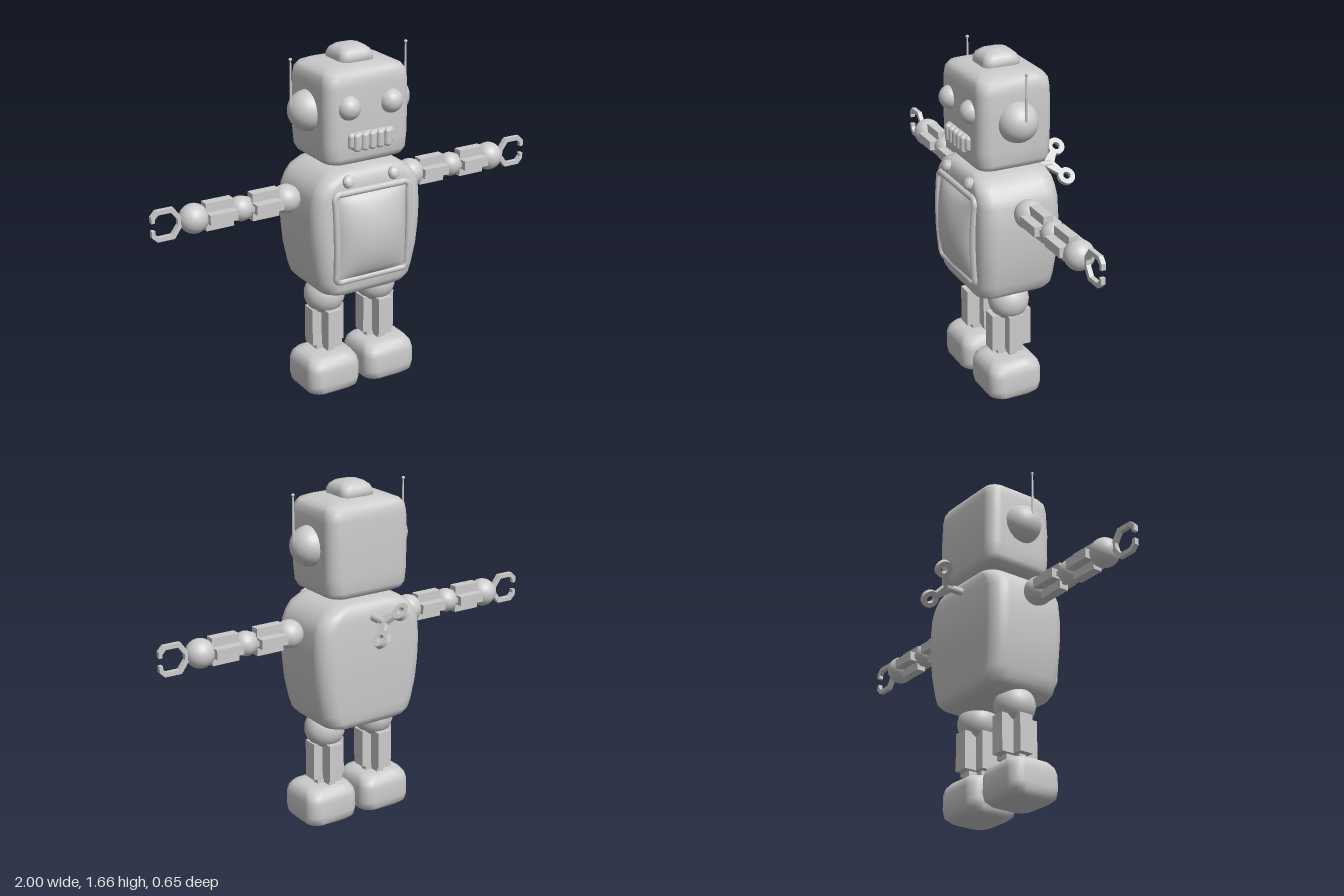
import * as THREE from 'three';
import { RoundedBoxGeometry } from 'three/addons/geometries/RoundedBoxGeometry.js';

const grey = new THREE.MeshStandardMaterial({ color: 0xcccccc });
const Z = 0.056; // depth of the body's mid plane

function add(parent, name, geometry, x = 0, y = 0, z = 0) {
  const mesh = new THREE.Mesh(geometry, grey);
  mesh.name = name;
  mesh.position.set(x, y, z);
  parent.add(mesh);
  return mesh;
}

function group(parent, name, x = 0, y = 0, z = 0) {
  const g = new THREE.Group();
  g.name = name;
  g.position.set(x, y, z);
  parent.add(g);
  return g;
}

const ball = (r) => new THREE.SphereGeometry(r, 28, 18);

// Soft box lofted through rounded rectangles; each ring is [y, halfWidth, halfDepth]
function softBox(rings, radius) {
  const n = 7, count = n * 4, pos = [], index = [];
  for (const [y, hw, hd] of rings) {
    const r = Math.min(radius, hw * 0.8, hd * 0.8);
    for (let c = 0; c < 4; c++) {
      const sx = c === 0 || c === 3 ? 1 : -1, sz = c < 2 ? 1 : -1;
      for (let k = 0; k < n; k++) {
        const t = (c + k / (n - 1)) * Math.PI / 2;
        pos.push(sx * (hw - r) + r * Math.cos(t), y, sz * (hd - r) + r * Math.sin(t));
      }
    }
  }
  const last = rings.length - 1, bottom = pos.length / 3, top = bottom + 1;
  pos.push(0, rings[0][0], 0, 0, rings[last][0], 0);
  for (let j = 0; j < count; j++) {
    const k = (j + 1) % count;
    for (let i = 0; i < last; i++) {
      const a = i * count + j, b = i * count + k;
      index.push(a, a + count, b, b, a + count, b + count);
    }
    index.push(bottom, j, k, top, last * count + k, last * count + j);
  }
  const g = new THREE.BufferGeometry();
  g.setAttribute('position', new THREE.Float32BufferAttribute(pos, 3));
  g.setIndex(index);
  g.computeVertexNormals();
  return g;
}

// Crossed bars around a slimmer, longer core, running along y
function barLimb(parent, name, length, width, depth, bar, coreLength) {
  const g = group(parent, name);
  add(g, 'sideBars', new THREE.BoxGeometry(width, length, bar));
  add(g, 'frontBars', new THREE.BoxGeometry(bar, length, depth));
  add(g, 'coreSideBars', new THREE.BoxGeometry(width * 0.64, coreLength, bar * 0.5));
  add(g, 'coreFrontBars', new THREE.BoxGeometry(bar * 0.5, coreLength, depth * 0.64));
  return g;
}

function plate(points, depth) {
  const shape = new THREE.Shape(points.map(([x, y]) => new THREE.Vector2(x, y)));
  return new THREE.ExtrudeGeometry(shape, { depth, bevelEnabled: false }).translate(0, 0, -depth / 2);
}

function buildTorso(root) {
  const torso = group(root, 'torso');
  add(torso, 'body', softBox([
    [0.508, 0.165, 0.13], [0.514, 0.19, 0.16], [0.53, 0.22, 0.182], [0.555, 0.241, 0.193],
    [0.6, 0.255, 0.196], [0.7, 0.275, 0.201], [0.8, 0.284, 0.204], [0.9, 0.288, 0.204],
    [1.0, 0.282, 0.2], [1.045, 0.264, 0.197], [1.08, 0.238, 0.193], [1.108, 0.198, 0.18],
    [1.12, 0.165, 0.16], [1.13, 0.12, 0.12]], 0.075), 0, 0, Z);

  // Window frame bowed to follow the chest
  const path = [];
  const corners = [[0.195, 1.03], [-0.195, 1.03], [-0.188, 0.603], [0.188, 0.603]];
  corners.forEach(([x, y], i) => {
    const [nx, ny] = corners[(i + 1) % 4];
    for (const t of [0.04, 0.12, 0.35, 0.65, 0.88, 0.96]) {
      const py = y + (ny - y) * t;
      path.push(new THREE.Vector3(x + (nx - x) * t, py, 0.268 - 0.3 * (py - 0.82) ** 2));
    }
  });
  const loop = new THREE.CatmullRomCurve3(path, true);
  add(torso, 'windowFrame', new THREE.TubeGeometry(loop, 120, 0.016, 8, true));

  // Domed window
  const dome = new THREE.PlaneGeometry(0.37, 0.41, 20, 20);
  const p = dome.attributes.position;
  for (let i = 0; i < p.count; i++) {
    const u = p.getX(i) / 0.185, v = p.getY(i) / 0.205;
    p.setZ(i, 0.067 * (Math.max(0, 1 - u * u) * Math.max(0, 1 - v * v)) ** 0.7);
  }
  dome.computeVertexNormals();
  add(torso, 'window', dome, 0, 0.815, 0.257);

  for (const s of [-1, 1]) {
    const knob = group(torso, 'chestKnob', s * 0.12, 1.08, 0.245);
    knob.rotation.x = 1.15;
    add(knob, 'knobBase', new THREE.CylinderGeometry(0.029, 0.031, 0.03, 20));
    add(knob, 'knobCap', ball(0.027).scale(1, 0.5, 1), 0, 0.015, 0);
  }
  add(torso, 'neck', new THREE.CylinderGeometry(0.085, 0.085, 0.07, 24), 0, 1.135, Z);
}

function buildHead(root) {
  const head = group(root, 'head');
  add(head, 'skull', softBox([
    [1.14, 0.14, 0.11], [1.146, 0.175, 0.145], [1.16, 0.203, 0.17], [1.185, 0.215, 0.18],
    [1.25, 0.219, 0.184], [1.4, 0.221, 0.184], [1.51, 0.219, 0.181], [1.55, 0.213, 0.176],
    [1.572, 0.198, 0.162], [1.585, 0.165, 0.135], [1.597, 0.1, 0.08]], 0.06), 0, 0, Z);
  add(head, 'cap', softBox([
    [1.57, 0.088, 0.09], [1.615, 0.087, 0.09], [1.637, 0.078, 0.08], [1.652, 0.06, 0.062],
    [1.66, 0.03, 0.03]], 0.04), 0, 0, Z);
  for (const s of [-1, 1]) {
    add(head, 'ear', ball(0.095), s * 0.215, 1.38, Z);
    add(head, 'antenna', new THREE.CylinderGeometry(0.004, 0.007, 0.22, 10), s * 0.302, 1.515, Z);
    add(head, 'antennaTip', ball(0.008), s * 0.302, 1.625, Z);
    add(head, 'eye', ball(0.056), s * 0.11, 1.42, 0.23);
  }
  // Mouth plate with a row of teeth
  add(head, 'mouthPlate', new RoundedBoxGeometry(0.236, 0.075, 0.04, 4, 0.018), 0, 1.267, 0.24);
  for (let i = -2; i <= 2; i++) {
    add(head, 'tooth', new RoundedBoxGeometry(0.037, 0.086, 0.05, 4, 0.016), i * 0.04, 1.262, 0.249);
  }
}

function buildArm(root, s) {
  const arm = group(root, s > 0 ? 'leftArm' : 'rightArm', 0, 0.98, Z);
  [['shoulder', 0.335, 0.068], ['elbow', 0.565, 0.058], ['wrist', 0.795, 0.068]]
    .forEach(([name, x, r]) => add(arm, name, ball(r), s * x, 0, 0));
  [['upperArm', 0.448], ['forearm', 0.678]].forEach(([name, x]) => {
    const limb = barLimb(arm, name, 0.136, 0.13, 0.136, 0.046, 0.18);
    limb.position.x = s * x;
    limb.rotation.z = Math.PI / 2;
  });
  // Open pincer
  const upper = [[1.0, 0.018], [1.0, 0.048], [0.975, 0.073], [0.893, 0.073], [0.855, 0.02]];
  const inner = [[0.875, 0.012], [0.905, 0.052], [0.966, 0.052], [0.983, 0.035], [0.983, 0.018]];
  const flip = (pts) => pts.map(([x, y]) => [x, -y]).reverse();
  const claw = add(arm, 'claw', plate([...upper, ...flip(upper), ...flip(inner), ...inner], 0.022));
  if (s < 0) claw.rotation.y = Math.PI;
}

function buildLeg(root, s) {
  const leg = group(root, s > 0 ? 'leftLeg' : 'rightLeg', s * 0.14, 0, 0.063);
  add(leg, 'hip', ball(0.097), 0, 0.47, 0);
  barLimb(leg, 'shin', 0.186, 0.17, 0.2, 0.072, 0.3).position.y = 0.318;
  add(leg, 'foot', softBox([
    [0, 0.09, 0.085], [0.006, 0.115, 0.108], [0.025, 0.132, 0.13], [0.06, 0.138, 0.135],
    [0.13, 0.137, 0.135], [0.16, 0.13, 0.127], [0.182, 0.115, 0.108], [0.193, 0.085, 0.08]],
  0.06), s * 0.013, 0, 0.017);
}

function buildKey(root) {
  const key = group(root, 'windUpKey', 0, 1.05, 0);
  key.rotation.z = Math.PI * 0.75;
  add(key, 'keyStem', new THREE.CylinderGeometry(0.018, 0.018, 0.12, 16), 0, 0, -0.17).rotation.x = Math.PI / 2;
  const ring = new THREE.Shape().absarc(0, 0, 0.042, 0, Math.PI * 2);
  ring.holes.push(new THREE.Path().absarc(0, 0, 0.018, 0, Math.PI * 2, true));
  const loop = new THREE.ExtrudeGeometry(ring, { depth: 0.022, bevelEnabled: false, curveSegments: 20 })
    .translate(0, 0, -0.011);
  for (const s of [-1, 1]) {
    add(key, 'keyLoop', loop, s * 0.078, 0, -0.282).rotation.x = -Math.PI / 2;
  }
  const web = plate([[-0.02, 0.2], [0.02, 0.2], [0.06, 0.245], [0.042, 0.27], [0, 0.245],
    [-0.042, 0.27], [-0.06, 0.245]], 0.022);
  add(key, 'keyWeb', web).rotation.x = -Math.PI / 2;
}

export function createModel() {
  const root = new THREE.Group();
  root.name = 'toyRobot';
  buildTorso(root);
  buildHead(root);
  for (const s of [-1, 1]) {
    buildArm(root, s);
    buildLeg(root, s);
  }
  buildKey(root);
  return root;
}
